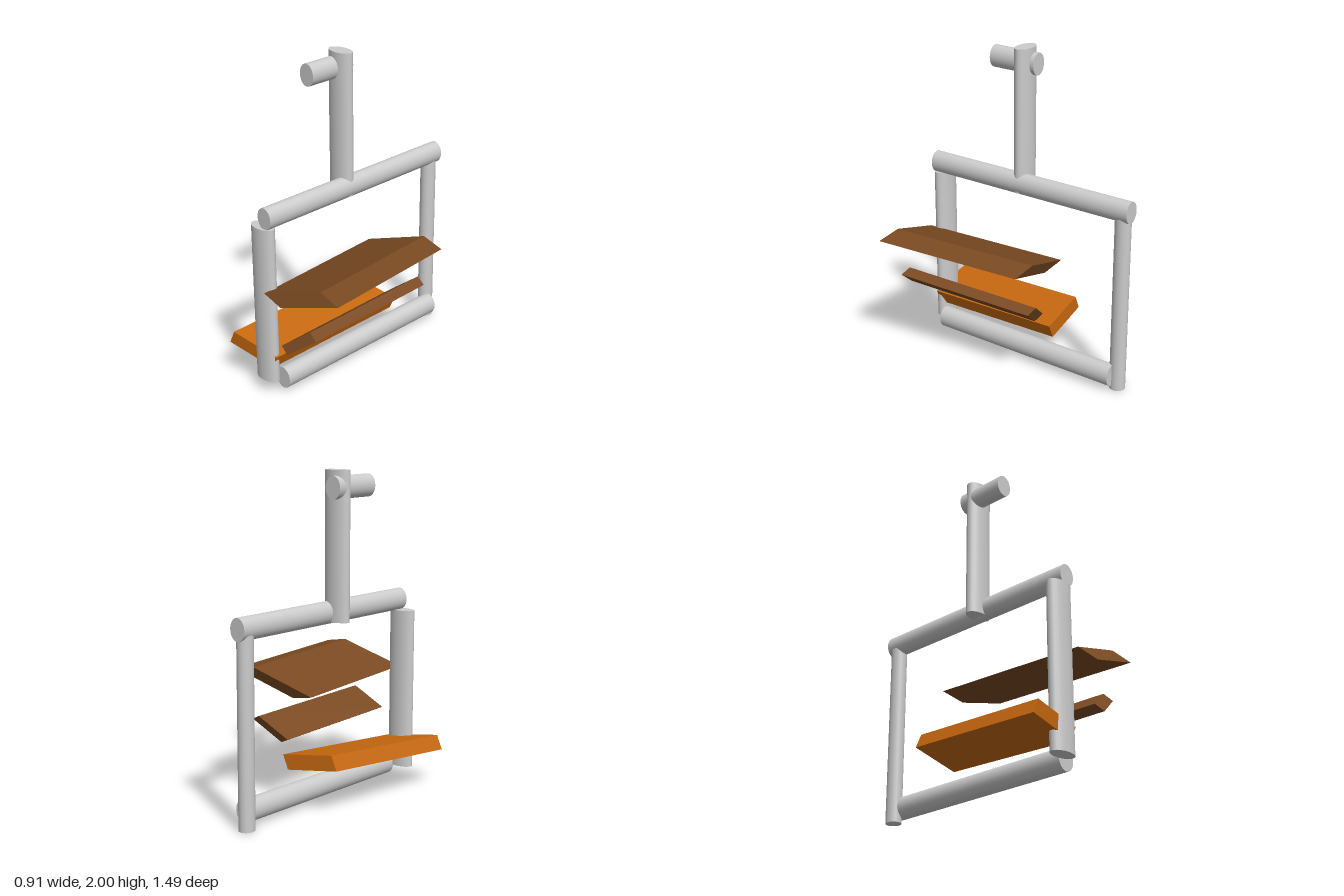
import * as THREE from 'three';

const grey = new THREE.MeshStandardMaterial({ color: 0xcccccc });
const orange = new THREE.MeshStandardMaterial({ color: 0xc8690f, flatShading: true });
const brown = new THREE.MeshStandardMaterial({ color: 0x7a4a22, flatShading: true });

export function createModel() {
  const group = new THREE.Group();

  const add = (name, geometry, material) => {
    const mesh = new THREE.Mesh(geometry, material);
    mesh.name = name;
    group.add(mesh);
    return mesh;
  };

  // Upright tube with an oval section, from y0 to y1
  const post = (name, x, z, rx, rz, y0, y1) => {
    const g = new THREE.CylinderGeometry(1, 1, y1 - y0, 24);
    g.scale(rx, 1, rz);
    add(name, g, grey).position.set(x, (y0 + y1) / 2, z);
  };

  // Tube lying along z with an oval section, from z0 to z1
  const beam = (name, x, y, rx, ry, z0, z1) => {
    const g = new THREE.CylinderGeometry(1, 1, z1 - z0, 24);
    g.rotateX(Math.PI / 2);
    g.scale(rx, ry, 1);
    add(name, g, grey).position.set(x, y, (z0 + z1) / 2);
  };

  // Skewed board: a corner and its three edge vectors (right-handed)
  const board = (name, corner, width, thickness, length, material) => {
    const g = new THREE.BoxGeometry(1, 1, 1).translate(0.5, 0.5, 0.5);
    const m = new THREE.Matrix4().makeBasis(
      new THREE.Vector3(...width),
      new THREE.Vector3(...thickness),
      new THREE.Vector3(...length)
    );
    m.setPosition(...corner);
    add(name, g.applyMatrix4(m), material);
  };

  // Frame
  post('mast', -0.17, 0.038, 0.087, 0.05, 1.11, 2);
  post('frontPost', -0.17, 0.665, 0.087, 0.05, 0.09, 1.1);
  post('backPost', -0.13, -0.69, 0.047, 0.05, 0, 1.13);
  beam('topBeam', -0.126, 1.163, 0.055, 0.068, -0.745, 0.692);
  beam('bottomBeam', -0.088, 0.097, 0.059, 0.07, -0.675, 0.62);
  beam('handle', -0.198, 1.9, 0.055, 0.068, -0.037, 0.28);

  // Boards
  board('upperBoard', [-0.098, 0.715, 0.735], [0.4, 0.133, -0.072],
    [0.155, -0.03, 0.012], [-0.097, -0.018, -0.955], brown);
  board('lowerBoard', [0.036, 0.42, 0.73], [0.17, 0.13, -0.07],
    [0.064, -0.03, 0.015], [-0.042, -0.013, -0.95], brown);
  board('seatBoard', [-0.418, 0.318, 0.72], [0.345, -0.051, -0.04],
    [-0.039, -0.087, 0], [0.061, 0.062, -0.945], orange);

  return group;
}
